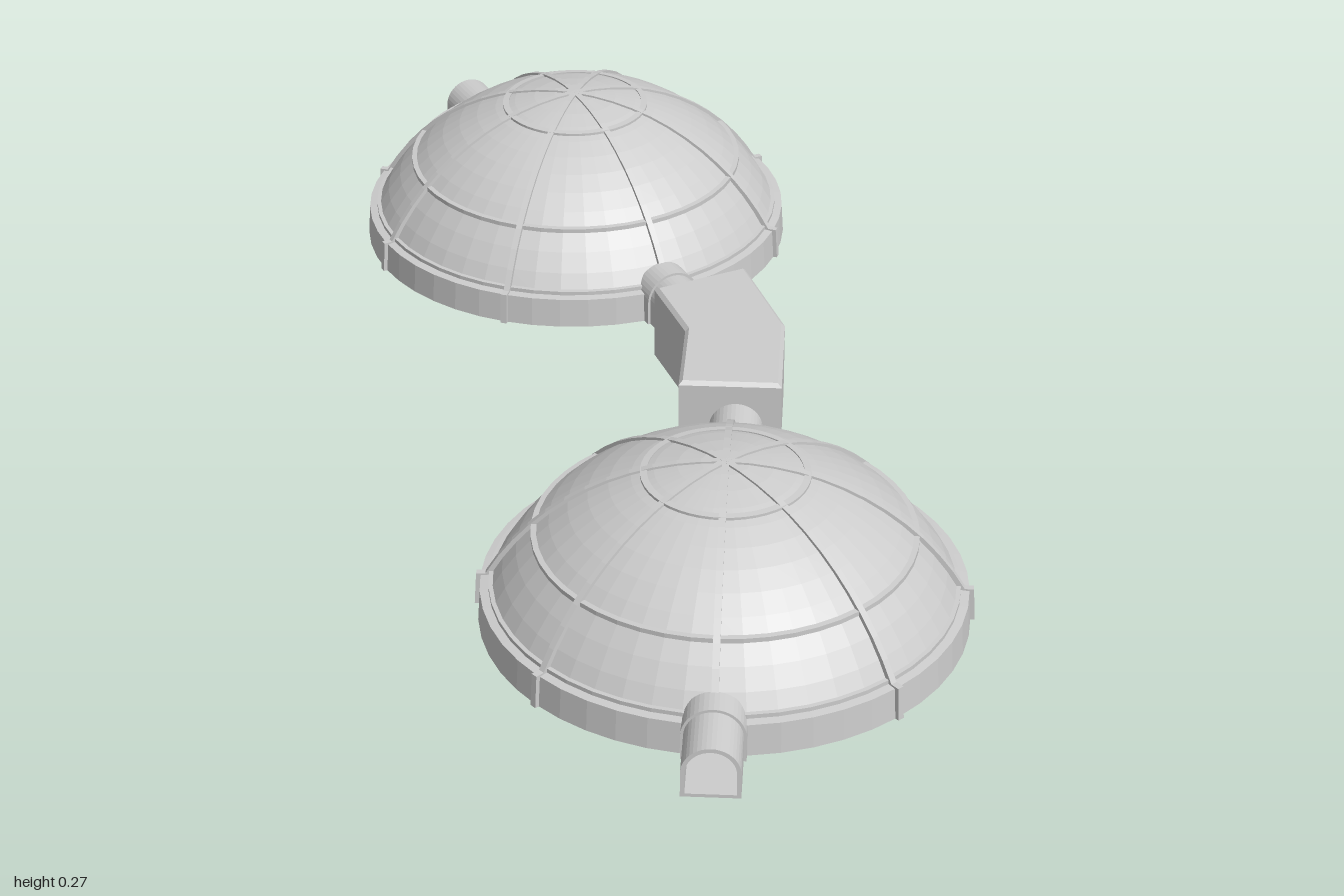
import * as THREE from 'three';

const BASE = 0.015, WALL_TOP = 0.065, APEX = 0.264;
const R = 0.38, CY = APEX - R; // sphere that the dome shell is cut from
const domeRadius = (y) => Math.sqrt(R * R - (y - CY) ** 2);

const grey = new THREE.MeshStandardMaterial({ color: 0xcccccc, flatShading: true });
grey.name = 'light grey';

function part(name, geometry, parent) {
  const mesh = new THREE.Mesh(geometry, grey);
  mesh.name = name;
  parent.add(mesh);
  return mesh;
}

// Points along the dome arc, from the foot to the apex
function arc(offset, steps = 12) {
  const start = Math.acos((WALL_TOP - CY) / R);
  return Array.from({ length: steps + 1 }, (_, i) => {
    const a = start * (1 - i / steps);
    return new THREE.Vector2(Math.sin(a) * (R + offset), CY + Math.cos(a) * (R + offset));
  });
}

// Tunnel outline: straight sides under a half round, with an optional bore
function tunnel(radius, bore, from, to) {
  const outline = (path, r, floor) => {
    path.moveTo(-r, floor);
    path.lineTo(r, floor);
    path.lineTo(r, 0.053);
    path.absarc(0, 0.053, r, 0, Math.PI, false);
    path.lineTo(-r, floor);
    return path;
  };
  const shape = outline(new THREE.Shape(), radius, BASE);
  shape.holes.push(outline(new THREE.Path(), bore, BASE + 0.005));
  return new THREE.ExtrudeGeometry(shape, { depth: to - from, bevelEnabled: false, curveSegments: 10 })
    .translate(0, 0, from);
}

function rib(withFoot) {
  const shape = new THREE.Shape();
  const outer = arc(0.003).map((p, i) => p.add(new THREE.Vector2(0.005 * (1 - i / 12), 0)));
  const inner = arc(-0.006).reverse();
  const foot = withFoot
    ? [new THREE.Vector2(0.33, BASE), new THREE.Vector2(0.358, BASE), new THREE.Vector2(0.355, 0.066)]
    : [];
  shape.setFromPoints([...foot, ...outer, ...inner]);
  return new THREE.ExtrudeGeometry(shape, { depth: 0.01, bevelEnabled: false }).translate(0, 0, -0.005);
}

function createDome(name) {
  const dome = new THREE.Group();
  dome.name = name;

  // Floor, short wall, ledge and shell
  const profile = [[0, BASE], [0.352, BASE], [0.349, WALL_TOP - 0.002]]
    .map(([x, y]) => new THREE.Vector2(x, y)).concat(arc(0));
  profile[profile.length - 1].x = 0;
  part('domeShell', new THREE.LatheGeometry(profile, 48), dome);

  // Horizontal hoops
  for (const [y, out] of [[0.068, 0.004], [0.15, 0.004], [0.245, 0.002]]) {
    const r = domeRadius(y);
    const section = [[r - 0.008, y - 0.004], [r + out, y - 0.004], [r + out, y + 0.003],
      [r - 0.008, y + 0.004], [r - 0.008, y - 0.004]].map(([a, b]) => new THREE.Vector2(a, b));
    part('hoop', new THREE.LatheGeometry(section, 48), dome);
  }

  // Eight meridian ribs; the two over the tunnels have no foot
  for (let i = 0; i < 8; i++) {
    part('rib', rib(i !== 2 && i !== 6), dome).rotation.y = (i * Math.PI) / 4;
  }

  // Entrance tunnels at both ends of the axis
  for (const turn of [0, Math.PI]) {
    part('tunnel', tunnel(0.041, 0.035, 0.32, 0.445), dome).rotation.y = turn;
    part('tunnelCollar', tunnel(0.045, 0.038, 0.32, 0.362), dome).rotation.y = turn;
  }
  return dome;
}

export function createModel() {
  const model = new THREE.Group();
  model.name = 'linkedDomes';

  const front = createDome('frontDome');
  front.position.set(0.143, 0, 0.555);
  const back = createDome('backDome');
  back.position.set(-0.155, 0, -0.595);
  back.rotation.y = Math.PI / 6;
  model.add(front, back);

  // Bent connecting block, drawn in plan as x and z
  const plan = [[0.055, 0.115], [0.212, 0.115], [0.212, -0.075], [0.143, -0.255], [0.002, -0.178], [0.057, -0.05]];
  const shape = new THREE.Shape(plan.map(([x, z]) => new THREE.Vector2(x, -z)));
  const block = new THREE.ExtrudeGeometry(shape, {
    depth: 0.118, bevelThickness: 0.006, bevelSize: 0.006, bevelOffset: -0.006, bevelSegments: 1,
  }).rotateX(-Math.PI / 2).translate(0, 0.006, 0);
  part('connectingBlock', block, model);

  return model;
}
